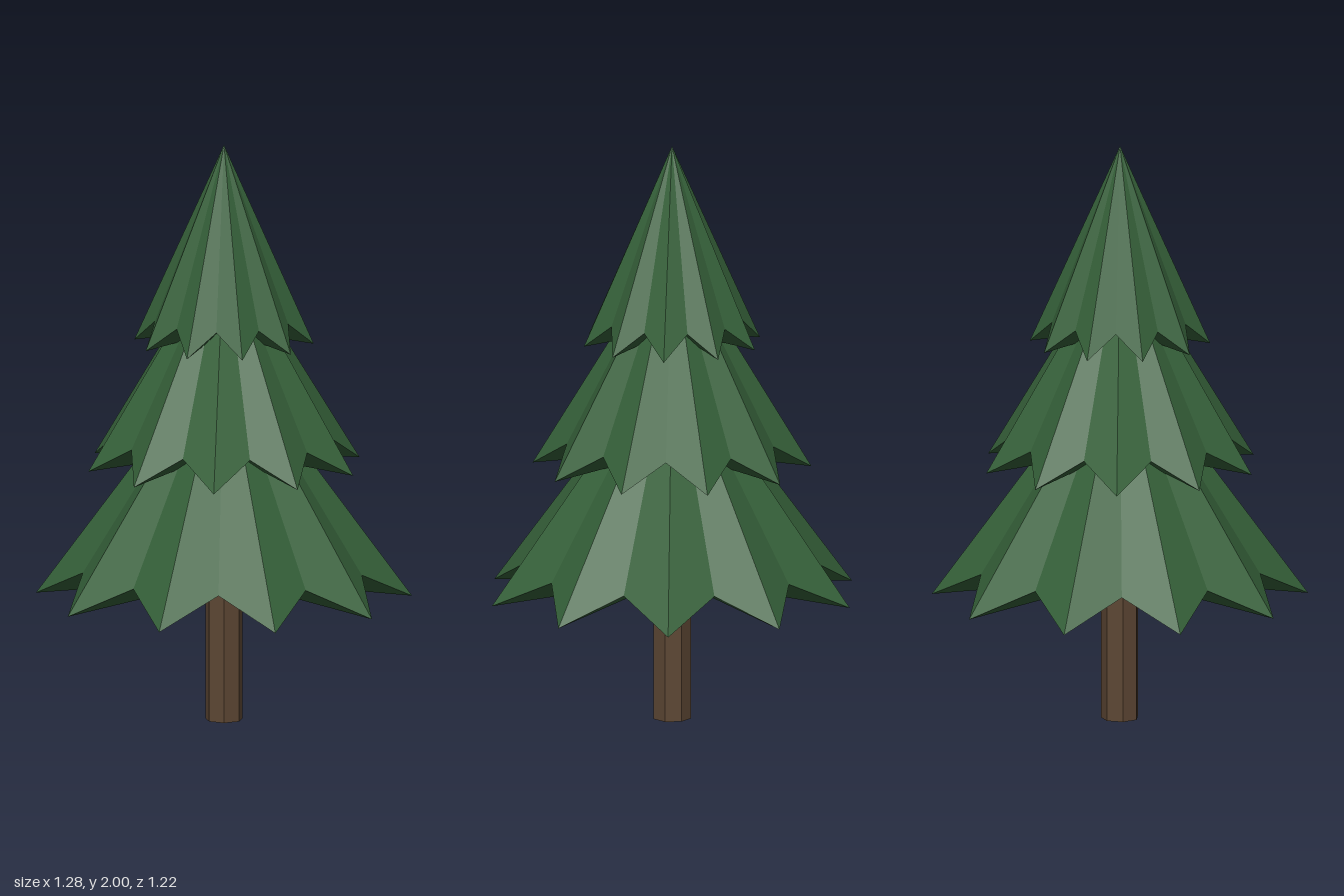
import * as THREE from 'three';

const POINTS = 10;

// One star-shaped skirt of branches: an apex, a zigzag rim and a shallow underside.
function starTier({ radius, bottom, height, turn }) {
  const rim = [];
  for (let i = 0; i < POINTS * 2; i++) {
    const notch = i % 2 === 1;
    const r = notch ? radius * 0.78 : radius;
    const y = notch ? bottom + height * 0.12 : bottom;
    const a = turn + (i * Math.PI) / POINTS;
    rim.push([r * Math.cos(a), y, r * Math.sin(a)]);
  }
  const apex = [0, bottom + height, 0];
  const under = [0, bottom + height * 0.06, 0];
  const positions = [];
  rim.forEach((p, i) => {
    const next = rim[(i + 1) % rim.length];
    positions.push(...apex, ...next, ...p);
    positions.push(...under, ...p, ...next);
  });
  const geometry = new THREE.BufferGeometry();
  geometry.setAttribute('position', new THREE.Float32BufferAttribute(positions, 3));
  geometry.computeVertexNormals();
  return geometry;
}

export function createModel() {
  const tree = new THREE.Group();
  tree.name = 'pineTree';

  const needles = new THREE.MeshStandardMaterial({ color: 0x356039, flatShading: true });
  needles.name = 'needle green';
  const bark = new THREE.MeshStandardMaterial({ color: 0x5c4633, flatShading: true });
  bark.name = 'bark brown';

  // Seven-sided trunk with one edge on the +x axis
  const trunkHeight = 0.55;
  const trunkGeometry = new THREE.CylinderGeometry(0.065, 0.065, trunkHeight, 7, 1, false, Math.PI / 2);
  trunkGeometry.translate(0, trunkHeight / 2, 0);
  const trunk = new THREE.Mesh(trunkGeometry, bark);
  trunk.name = 'trunk';
  tree.add(trunk);

  // Three tiers of branches, each turned a little further than the one below
  const tiers = [
    { name: 'lowerBranches', radius: 0.64, bottom: 0.435, height: 0.87, turn: 0 },
    { name: 'middleBranches', radius: 0.475, bottom: 0.887, height: 0.78, turn: 0.35 },
    { name: 'topBranches', radius: 0.307, bottom: 1.315, height: 0.685, turn: 0.7 },
  ];
  for (const tier of tiers) {
    const mesh = new THREE.Mesh(starTier(tier), needles);
    mesh.name = tier.name;
    tree.add(mesh);
  }

  return tree;
}
